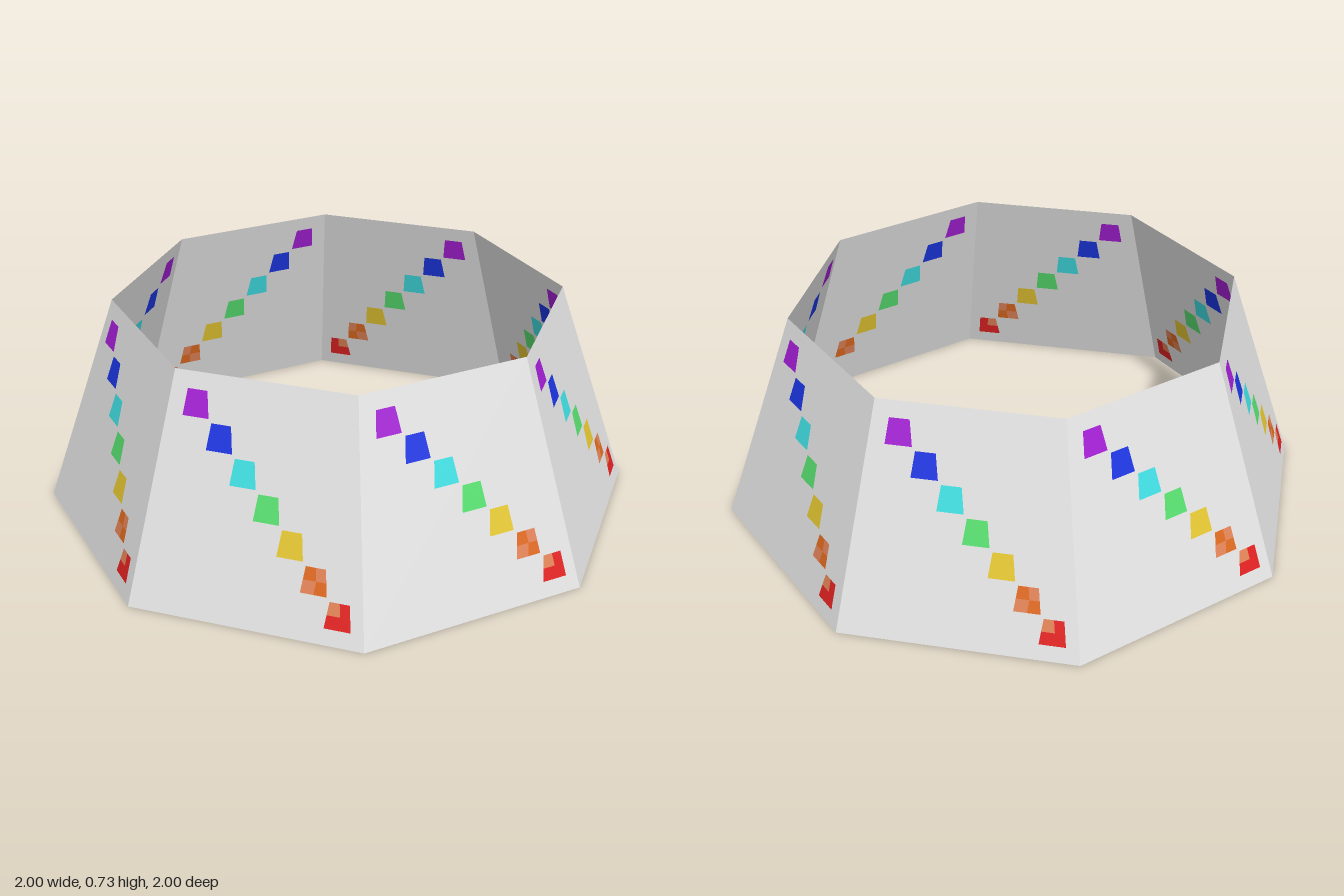
import * as THREE from 'three';

const SIDES = 8, BOTTOM = 1, TOP = 0.75, HEIGHT = 0.727;

const material = (name, color) =>
  new THREE.MeshStandardMaterial({ name, color, side: THREE.DoubleSide, flatShading: true });

// Point on a wall panel: u runs left to right, v runs up, as two flat halves
// meeting on the diagonal from top left to bottom right.
function panelPoint(panel, u, v, offset) {
  const corner = (step, radius, y) => {
    const a = (panel + step) * Math.PI * 2 / SIDES;
    return new THREE.Vector3(Math.sin(a) * radius, y, Math.cos(a) * radius);
  };
  const bl = corner(0, BOTTOM, 0), br = corner(1, BOTTOM, 0);
  const tl = corner(0, TOP, HEIGHT), tr = corner(1, TOP, HEIGHT);
  const normal = br.clone().sub(bl).cross(tl.clone().sub(bl)).normalize();
  const p = u + v <= 1
    ? bl.clone().addScaledVector(br.clone().sub(bl), u).addScaledVector(tl.clone().sub(bl), v)
    : tr.clone().addScaledVector(tl.clone().sub(tr), 1 - u).addScaledVector(br.clone().sub(tr), 1 - v);
  return p.addScaledVector(normal, offset);
}

// Painted cells repeated on every panel, on both the outside and the inside
function paintedCells(cells) {
  const positions = [];
  for (let panel = 0; panel < SIDES; panel++) {
    for (const offset of [0.003, -0.003]) {
      for (const [u0, v0, u1, v1] of cells) {
        const bl = panelPoint(panel, u0, v0, offset), br = panelPoint(panel, u1, v0, offset);
        const tl = panelPoint(panel, u0, v1, offset), tr = panelPoint(panel, u1, v1, offset);
        const order = offset > 0 ? [tl, bl, br, tl, br, tr] : [tl, br, bl, tl, tr, br];
        for (const p of order) positions.push(p.x, p.y, p.z);
      }
    }
  }
  const geometry = new THREE.BufferGeometry();
  geometry.setAttribute('position', new THREE.Float32BufferAttribute(positions, 3));
  geometry.computeVertexNormals();
  return geometry;
}

export function createModel() {
  const group = new THREE.Group();
  const add = (name, geometry, mat) => {
    const mesh = new THREE.Mesh(geometry, mat);
    mesh.name = name;
    group.add(mesh);
  };

  // Open, tapered eight-sided wall
  const wall = new THREE.CylinderGeometry(TOP, BOTTOM, HEIGHT, SIDES, 1, true);
  wall.translate(0, HEIGHT / 2, 0);
  add('wall', wall, material('pale grey', 0xe4e4e4));

  // Diagonal rows of coloured squares, from top left to bottom right
  const colours = [
    ['purple', 0xa41ed6], ['blue', 0x1c36e4], ['cyan', 0x40e0e4], ['green', 0x58e070],
    ['yellow', 0xe6c832], ['orange', 0xe06a20], ['red', 0xe42222],
  ];
  const h = 0.055;
  const lightCells = [];
  colours.forEach(([name, color], i) => {
    const u = (i + 1) / 8, v = 1 - u;
    const quarters = {
      topLeft: [u - h, v, u, v + h], topRight: [u, v, u + h, v + h],
      bottomLeft: [u - h, v - h, u, v], bottomRight: [u, v - h, u + h, v],
    };
    // The two lowest squares carry lighter quarters
    const light = { orange: ['topRight', 'bottomLeft'], red: ['topLeft'] }[name] || [];
    const plain = [];
    for (const key in quarters) (light.includes(key) ? lightCells : plain).push(quarters[key]);
    add(name + 'Squares', paintedCells(plain), material(name, color));
  });
  add('lightPatches', paintedCells(lightCells), material('light orange', 0xe48458));

  return group;
}
